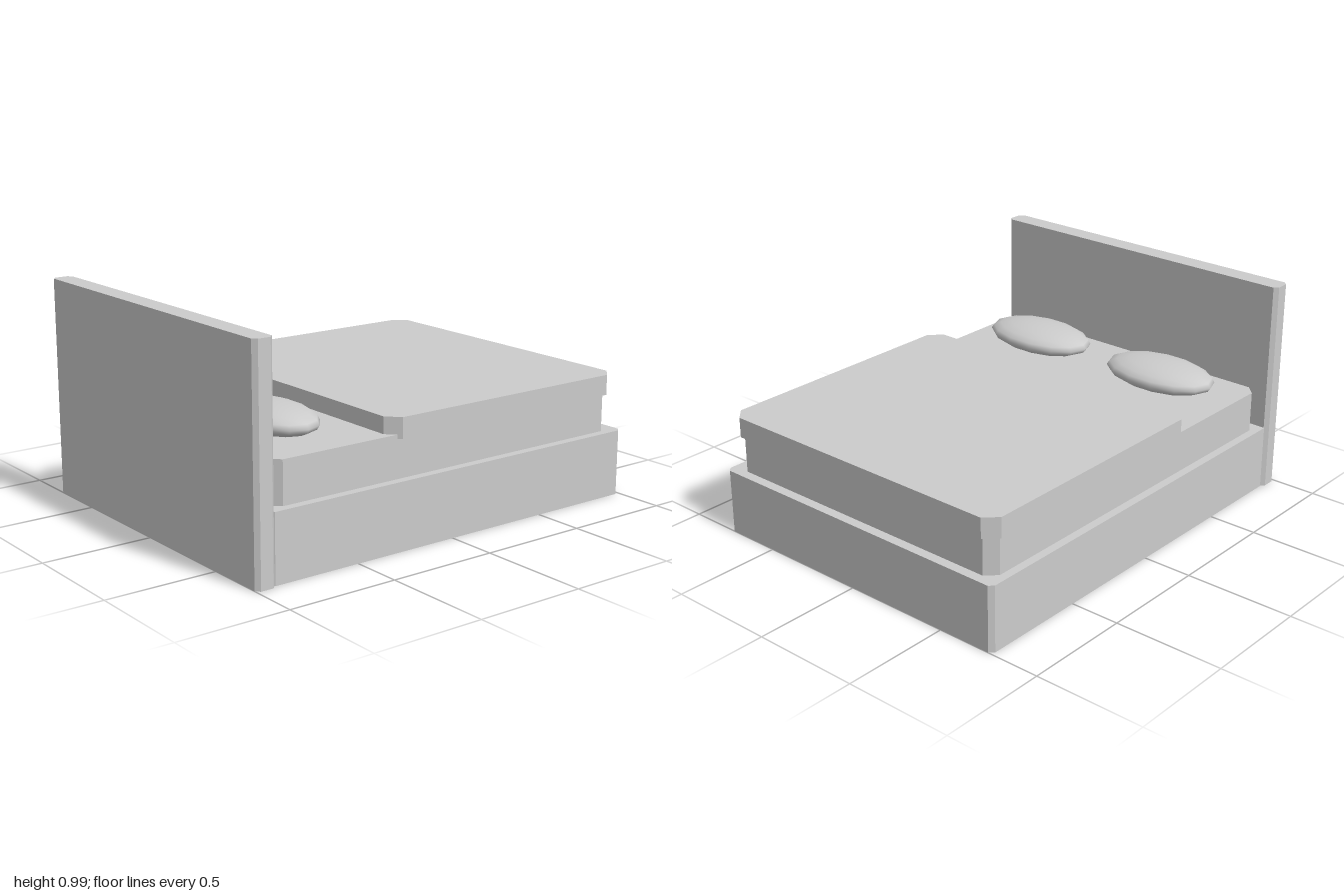
import * as THREE from 'three';

const grey = new THREE.MeshStandardMaterial({ color: 0xcccccc });
grey.name = 'plain grey';

// Upright slab whose four vertical edges are cut at 45 degrees
function slab(name, halfWidth, z0, z1, y0, y1, cut) {
  const zc = (z0 + z1) / 2, d = (z1 - z0) / 2, w = halfWidth;
  const outline = [
    [w, -d + cut], [w, d - cut], [w - cut, d], [-w + cut, d],
    [-w, d - cut], [-w, -d + cut], [-w + cut, -d], [w - cut, -d],
  ].map(([x, y]) => new THREE.Vector2(x, y));
  const geometry = new THREE.ExtrudeGeometry(new THREE.Shape(outline), {
    depth: y1 - y0, bevelEnabled: false,
  });
  geometry.rotateX(-Math.PI / 2);
  geometry.translate(0, y0, zc);
  const mesh = new THREE.Mesh(geometry, grey);
  mesh.name = name;
  return mesh;
}

// Flattened ball cushion
function pillow(name, x) {
  const geometry = new THREE.SphereGeometry(1, 14, 10);
  geometry.scale(0.28, 0.063, 0.167);
  const mesh = new THREE.Mesh(geometry, grey);
  mesh.name = name;
  mesh.position.set(x, 0.548, 0.64);
  return mesh;
}

export function createModel() {
  const bed = new THREE.Group();
  bed.name = 'bed';
  bed.add(
    slab('bedBase', 0.773, -1, 0.925, 0, 0.3, 0.02),
    slab('headboard', 0.787, 0.907, 1, 0, 0.987, 0.018),
    slab('mattress', 0.735, -0.955, 0.886, 0.3, 0.488, 0.047),
    slab('duvet', 0.751, -0.972, 0.314, 0.47, 0.562, 0.056),
    pillow('leftPillow', 0.355),
    pillow('rightPillow', -0.36),
  );
  return bed;
}
